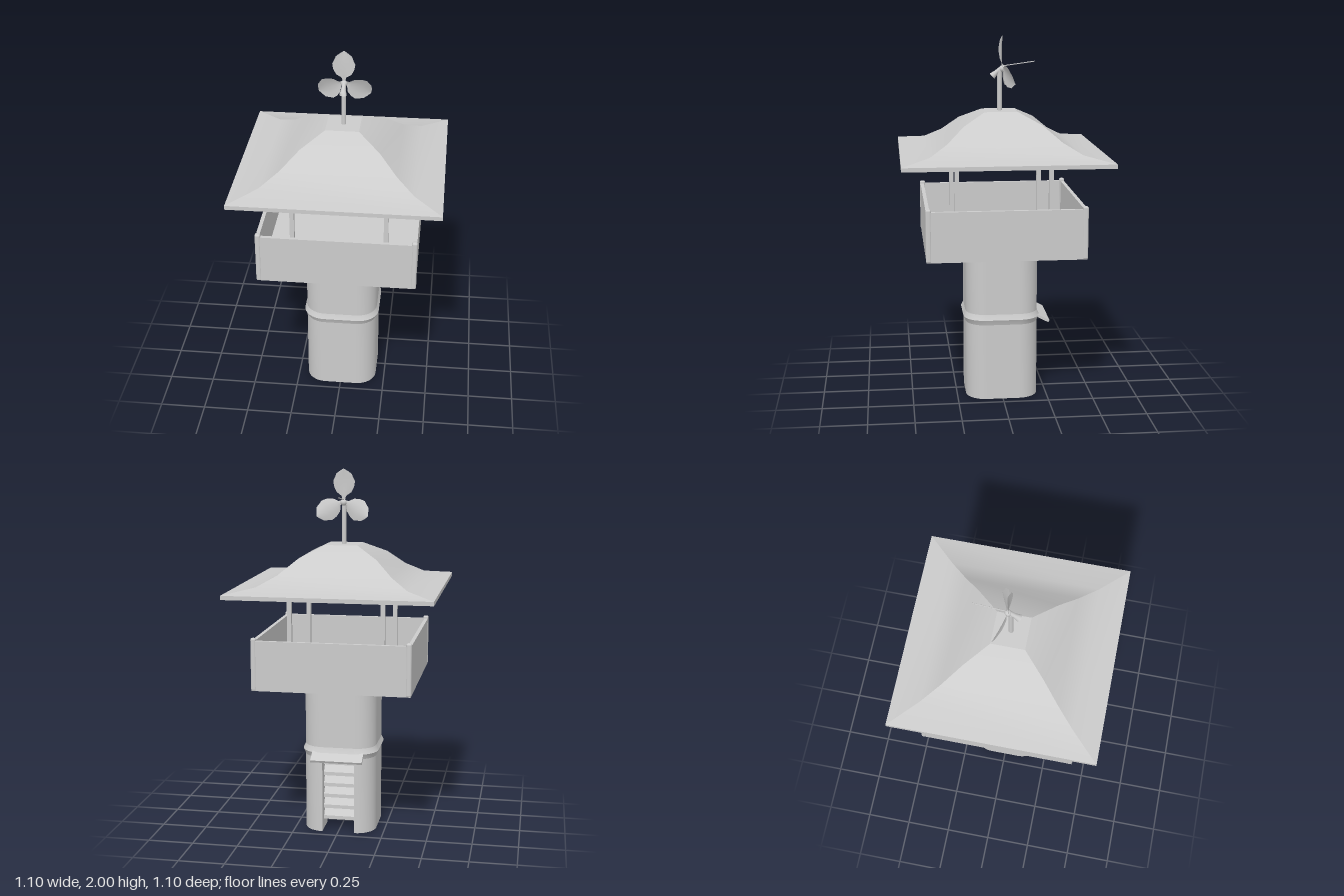
import * as THREE from 'three';
import { RoundedBoxGeometry } from 'three/addons/geometries/RoundedBoxGeometry.js';

const grey = new THREE.MeshStandardMaterial({ color: 0xcccccc });
const thin = new THREE.MeshStandardMaterial({ color: 0xcccccc, side: THREE.DoubleSide });

function add(parent, name, geometry, x = 0, y = 0, z = 0, material = grey) {
  const mesh = new THREE.Mesh(geometry, material);
  mesh.name = name;
  mesh.position.set(x, y, z);
  parent.add(mesh);
  return mesh;
}

const box = (w, h, d) => new THREE.BoxGeometry(w, h, d);

// Surface through rows of points; rows run upward, points run left to right seen from outside
function surface(rows, faceted = false) {
  const n = rows[0].length, index = [];
  for (let r = 0; r < rows.length - 1; r++)
    for (let i = 0; i < n - 1; i++) {
      const a = r * n + i, c = a + n;
      index.push(a, a + 1, c, a + 1, c + 1, c);
    }
  let g = new THREE.BufferGeometry();
  g.setAttribute('position', new THREE.Float32BufferAttribute(rows.flat(2), 3));
  g.setIndex(index);
  if (faceted) g = g.toNonIndexed();
  g.computeVertexNormals();
  return g;
}

// Rounded square outline, open across the doorway at the back
function towerOutline() {
  const flat = 0.09, radius = 0.11, pts = [];
  [[1, -1], [1, 1], [-1, 1], [-1, -1]].forEach(([sx, sz], k) => {
    for (let i = 0; i <= 8; i++) {
      const a = (k - 1 + i / 8) * Math.PI / 2;
      pts.push([sx * flat + radius * Math.cos(a), sz * flat + radius * Math.sin(a)]);
    }
  });
  return pts.reverse();
}

function buildTower(root) {
  const open = towerOutline(), closed = [...open, open[0]];
  const wall = (pts, levels) => surface(levels.map(([y, half]) =>
    pts.map(([x, z]) => [x * half / 0.2, y, z * half / 0.2])));
  add(root, 'lowerWall', wall(open, [[0, 0.2], [0.43, 0.2]]), 0, 0, 0, thin);
  add(root, 'bandLower', wall(closed, [[0.43, 0.2], [0.445, 0.205], [0.46, 0.212]]), 0, 0, 0, thin);
  add(root, 'bandUpper', wall(closed, [[0.46, 0.212], [0.475, 0.205], [0.49, 0.2]]), 0, 0, 0, thin);
  add(root, 'upperWall', wall(closed, [[0.49, 0.2], [0.855, 0.2]]), 0, 0, 0, thin);

  // Doorway: side jambs, louvred panel and sloping canopy
  for (const s of [-1, 1]) add(root, 'doorJamb', box(0.006, 0.43, 0.15), s * 0.092, 0.215, -0.12);
  const rows = [];
  for (let i = 0; i < 6; i++)
    for (const [dy, z] of [[0, -0.115], [0.005, -0.145], [0.025, -0.145], [0.063, -0.115]])
      rows.push([[0.09, 0.05 + i * 0.064 + dy, z], [-0.09, 0.05 + i * 0.064 + dy, z]]);
  add(root, 'louvres', surface(rows, true), 0, 0, 0, thin);
  add(root, 'doorCanopy', box(0.286, 0.014, 0.076), 0, 0.443, -0.23).rotation.x = -0.49;
}

function buildDeck(root) {
  add(root, 'deckFloor', box(0.85, 0.03, 0.85), 0, 0.865, 0);
  for (const s of [-1, 1]) {
    add(root, 'parapet', box(0.83, 0.27, 0.02), 0, 0.985, s * 0.415);
    add(root, 'parapet', box(0.02, 0.27, 0.83), s * 0.415, 0.985, 0);
    for (const t of [-1, 1]) {
      add(root, 'cornerPost', new RoundedBoxGeometry(0.03, 0.285, 0.03, 3, 0.01), s * 0.413, 0.9925, t * 0.413);
      add(root, 'roofPost', box(0.024, 0.52, 0.024), s * 0.253, 1.12, t * 0.253);
    }
  }
}

function buildRoof(root) {
  add(root, 'eaves', box(1.1, 0.022, 1.1), 0, 1.366, 0);
  // Four swept slopes mitred at the hips
  const profile = [[0.55, 1.377], [0.4, 1.402], [0.305, 1.455], [0.21, 1.535], [0.09, 1.595]];
  const slope = surface(profile.map(([h, y]) => [[-h, y, h], [h, y, h]]));
  for (let i = 0; i < 4; i++) add(root, 'roofSlope', slope).rotation.y = i * Math.PI / 2;
  add(root, 'roofCap', box(0.18, 0.01, 0.18), 0, 1.59, 0);
}

// Cupped petal with a scalloped edge, growing along +y from its base
function petalGeometry() {
  const rows = [[0, 0.006], [0.025, 0.012], [0.045, 0.04], [0.075, 0.055], [0.105, 0.06],
    [0.125, 0.05], [0.145, 0.042], [0.16, 0.02], [0.17, 0.003]];
  return surface(rows.map(([y, w]) =>
    [-1, -0.5, 0, 0.5, 1].map(u => [u * w, y, 0.012 * u * u * w / 0.06 - 0.5 * y * y])));
}

function buildFinial(root) {
  add(root, 'finialPole', new THREE.CylinderGeometry(0.013, 0.013, 0.22, 12), 0, 1.7, 0);
  const flower = new THREE.Group();
  flower.name = 'finialFlower';
  flower.position.set(0, 1.83, -0.015);
  root.add(flower);
  const petal = petalGeometry();
  for (const k of [-1, 0, 1]) {
    const arm = new THREE.Group();
    arm.name = 'petalArm';
    arm.rotation.z = k * 2.1;
    flower.add(arm);
    add(arm, 'petal', petal, 0, 0, 0, thin).rotation.x = k ? -0.25 : 0.07;
  }
  // Hollow trumpet reaching forward and down from the hub
  const trumpet = new THREE.LatheGeometry(
    [[0.008, 0], [0.012, 0.025], [0.012, 0.045], [0.02, 0.075]].map(p => new THREE.Vector2(...p)), 12);
  add(flower, 'trumpet', trumpet, 0, 0, 0, thin).rotation.x = 2.3;
  add(flower, 'hub', new THREE.SphereGeometry(0.018, 12, 8), 0, -0.01, 0);
  // Thin spur at the back
  const spur = new THREE.LineCurve3(new THREE.Vector3(0, 0.005, 0), new THREE.Vector3(0, 0.029, -0.177));
  add(flower, 'spur', new THREE.TubeGeometry(spur, 1, 0.003, 6));
}

export function createModel() {
  const root = new THREE.Group();
  root.name = 'lookoutTower';
  buildTower(root);
  buildDeck(root);
  buildRoof(root);
  buildFinial(root);
  return root;
}
